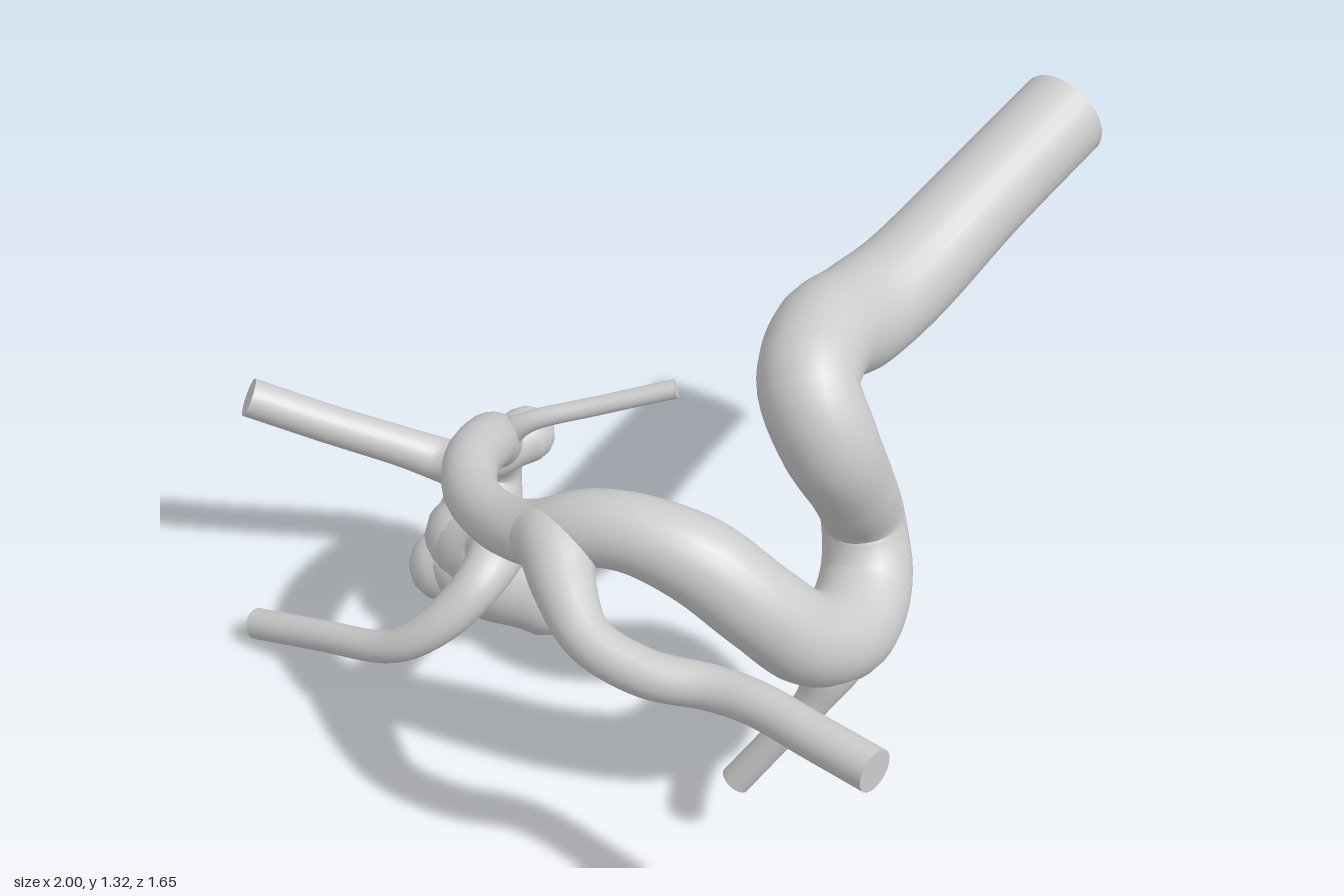
import * as THREE from 'three';

const SIDES = 24;

// Tube of varying radius through points [x, y, z, radius].
// The first end is cut flat unless roundStart is set; the last end is a dome.
function vessel(name, pts, steps, material, roundStart = false) {
  const curve = new THREE.CatmullRomCurve3(pts.map(p => new THREE.Vector3(p[0], p[1], p[2])));
  const radii = new THREE.SplineCurve(pts.map((p, i) => new THREE.Vector2(i, p[3])));
  const frames = curve.computeFrenetFrames(steps, false);
  const rings = [];
  const addRing = (i, angle = 0, dir = 1) => {
    const r = radii.getPoint(curve.getUtoTmapping(i / steps)).y;
    const c = curve.getPointAt(i / steps).addScaledVector(frames.tangents[i], dir * r * Math.sin(angle));
    rings.push({ c, n: frames.normals[i], b: frames.binormals[i], r: r * Math.cos(angle) });
  };
  const dome = [0.25, 0.5, 0.75, 0.995].map(k => k * Math.PI / 2);
  if (roundStart) [...dome].reverse().forEach(a => addRing(0, a, -1));
  for (let i = 0; i <= steps; i++) addRing(i);
  dome.forEach(a => addRing(steps, a));

  const pos = [], idx = [];
  const ringVertices = ({ c, n, b, r }) => {
    for (let j = 0; j < SIDES; j++) {
      const a = j / SIDES * Math.PI * 2;
      const v = c.clone().addScaledVector(n, r * Math.cos(a)).addScaledVector(b, r * Math.sin(a));
      pos.push(v.x, v.y, v.z);
    }
  };
  rings.forEach(ringVertices);
  for (let i = 0; i < rings.length - 1; i++) {
    for (let j = 0; j < SIDES; j++) {
      const a = i * SIDES + j, b = i * SIDES + (j + 1) % SIDES;
      idx.push(a, b, a + SIDES, b, b + SIDES, a + SIDES);
    }
  }
  // End caps use their own vertices so the rim of the flat cut stays sharp
  const cap = (ring, flip) => {
    const start = pos.length / 3;
    ringVertices(ring);
    pos.push(ring.c.x, ring.c.y, ring.c.z);
    for (let j = 0; j < SIDES; j++) {
      const a = start + j, b = start + (j + 1) % SIDES;
      idx.push(start + SIDES, flip ? b : a, flip ? a : b);
    }
  };
  cap(rings[0], true);
  cap(rings[rings.length - 1], false);

  const g = new THREE.BufferGeometry();
  g.setAttribute('position', new THREE.Float32BufferAttribute(pos, 3));
  g.setIndex(idx);
  g.computeVertexNormals();
  const mesh = new THREE.Mesh(g, material);
  mesh.name = name;
  return mesh;
}

export function createModel() {
  const group = new THREE.Group();
  group.name = 'branchingVessel';
  const mat = new THREE.MeshStandardMaterial({ color: 0xcccccc });
  const add = (name, pts, steps, roundStart) => group.add(vessel(name, pts, steps, mat, roundStart));

  // Thick inlet, S-bend, and the long arch that narrows towards the sac
  add('mainVessel', [
    [0.35, 1.225, -0.8, 0.106], [0.35, 1.145, -0.5, 0.106], [0.35, 1.065, -0.22, 0.113],
    [0.35, 1.05, -0.08, 0.118], [0.38, 1.085, 0.08, 0.112], [0.445, 1.06, 0.205, 0.106],
    [0.505, 0.95, 0.21, 0.103], [0.51, 0.8, 0.135, 0.092], [0.49, 0.665, 0.065, 0.09],
    [0.535, 0.55, 0.105, 0.1], [0.58, 0.51, 0.22, 0.104], [0.58, 0.56, 0.35, 0.1],
    [0.52, 0.68, 0.45, 0.096], [0.42, 0.78, 0.515, 0.094], [0.3, 0.82, 0.57, 0.084],
    [0.2, 0.81, 0.61, 0.08], [0.1, 0.765, 0.645, 0.072], [0, 0.735, 0.645, 0.064],
    [-0.16, 0.7, 0.585, 0.06], [-0.275, 0.67, 0.475, 0.062], [-0.355, 0.615, 0.35, 0.064],
    [-0.425, 0.53, 0.255, 0.066], [-0.475, 0.42, 0.215, 0.066], [-0.47, 0.31, 0.27, 0.1],
  ], 180);

  // Bulging sac: one lobe hanging below it, a second swelling to its front right
  add('sac', [
    [-0.465, 0.27, 0.31, 0.11], [-0.45, 0.225, 0.305, 0.13],
    [-0.4, 0.165, 0.265, 0.122], [-0.335, 0.092, 0.21, 0.088],
  ], 32, true);
  add('sacSideLobe', [
    [-0.44, 0.22, 0.28, 0.12], [-0.47, 0.21, 0.32, 0.11], [-0.505, 0.195, 0.355, 0.09],
  ], 16, true);

  // Side branch looping forward beside the upper arch
  add('leftBranch', [
    [1, 0.665, 0.672, 0.046], [0.85, 0.665, 0.672, 0.046], [0.7, 0.665, 0.672, 0.046],
    [0.6, 0.66, 0.69, 0.047], [0.48, 0.67, 0.75, 0.05], [0.35, 0.705, 0.775, 0.052],
    [0.24, 0.75, 0.725, 0.066], [0.16, 0.775, 0.665, 0.08], [0.08, 0.76, 0.645, 0.068],
  ], 60);

  // Thin branch dropping from the lower bend
  add('lowerBranch', [
    [0.47, 0.17, 0.455, 0.034], [0.54, 0.3, 0.395, 0.034],
    [0.595, 0.405, 0.345, 0.041], [0.6, 0.46, 0.315, 0.067], [0.59, 0.51, 0.28, 0.088],
  ], 30);

  // Right-hand outlet at the end of the arch
  add('rightBranch', [
    [-0.965, 0.55, 0.52, 0.046], [-0.84, 0.465, 0.395, 0.046], [-0.72, 0.385, 0.27, 0.048],
    [-0.65, 0.35, 0.215, 0.053], [-0.56, 0.355, 0.205, 0.058], [-0.46, 0.36, 0.25, 0.07],
  ], 40);

  // Outlet curling forward out of the sac
  add('frontBranch', [
    [-0.82, 0.05, 0.685, 0.037], [-0.62, 0.105, 0.657, 0.037], [-0.43, 0.16, 0.632, 0.038],
    [-0.37, 0.195, 0.605, 0.043], [-0.31, 0.26, 0.54, 0.05], [-0.285, 0.33, 0.45, 0.057],
    [-0.33, 0.335, 0.36, 0.072], [-0.43, 0.27, 0.32, 0.11],
  ], 50);

  // Small bud behind the arch
  add('bud', [
    [-0.42, 0.515, 0.28, 0.06], [-0.41, 0.52, 0.23, 0.06], [-0.4, 0.525, 0.18, 0.066],
  ], 14, true);

  // Hair-thin branch leaving beside the bud
  add('thinBranch', [
    [-0.08, 0.715, 0.02, 0.022], [-0.2, 0.675, 0.13, 0.022],
    [-0.32, 0.635, 0.245, 0.024], [-0.37, 0.59, 0.27, 0.036], [-0.4, 0.54, 0.265, 0.05],
  ], 30);

  return group;
}
